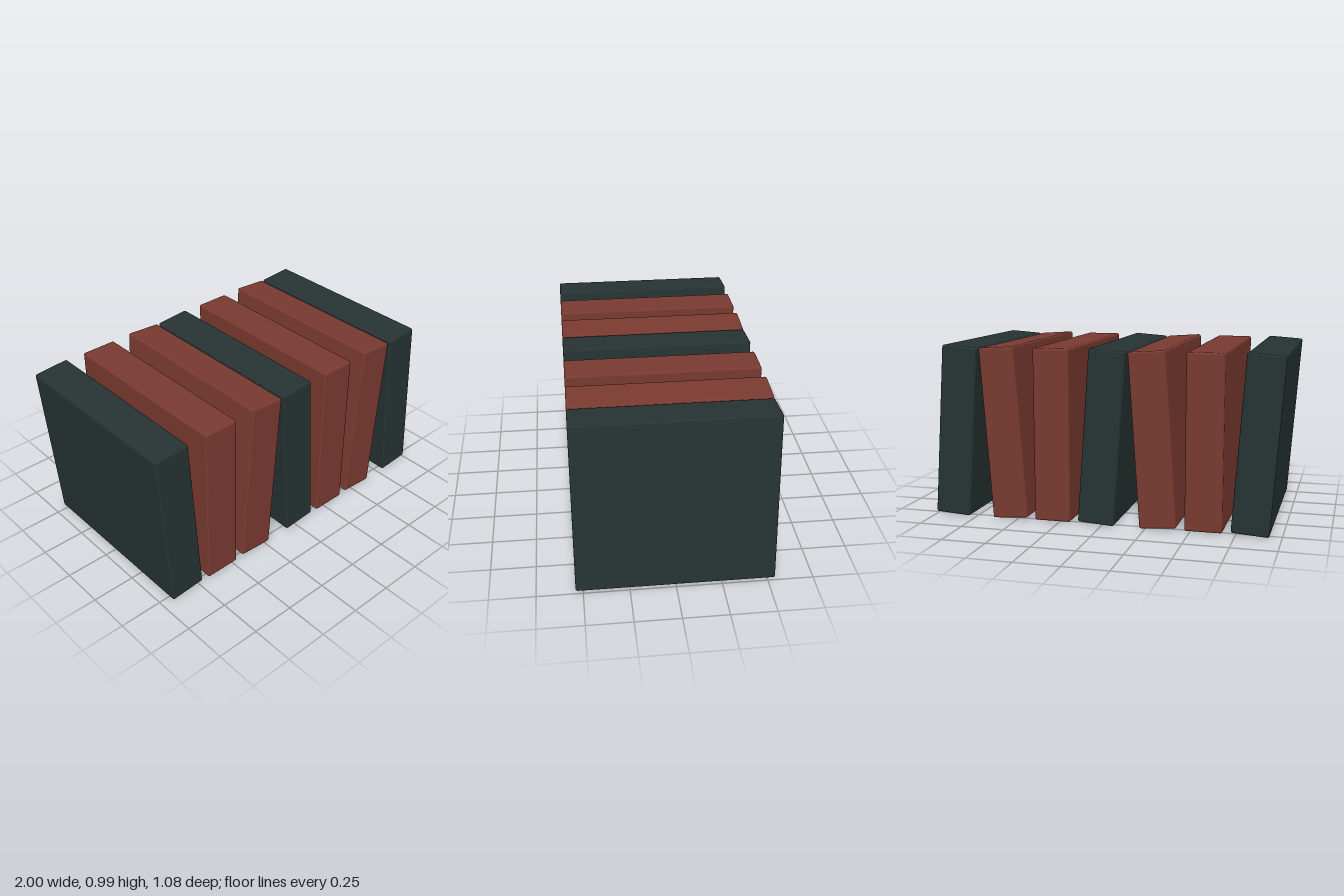
import * as THREE from 'three';
import { RoundedBoxGeometry } from 'three/addons/geometries/RoundedBoxGeometry.js';

export function createModel() {
  const group = new THREE.Group();
  group.name = 'bookRow';

  const red = new THREE.MeshStandardMaterial({ color: 0x78392f });
  red.name = 'brick red';
  const dark = new THREE.MeshStandardMaterial({ color: 0x263232 });
  dark.name = 'dark slate';

  // One softly bevelled slab shared by every book
  const slab = new RoundedBoxGeometry(0.209, 0.979, 1.08, 2, 0.012);

  // Repeating rhythm: dark leaning left, red upright, red leaning right
  const lean = THREE.MathUtils.degToRad(4);
  const rhythm = [
    { material: dark, tilt: lean },
    { material: red, tilt: 0 },
    { material: red, tilt: -lean },
  ];
  const count = 7, spacing = 0.2875;

  for (let i = 0; i < count; i++) {
    const { material, tilt } = rhythm[i % rhythm.length];
    const book = new THREE.Mesh(slab, material);
    book.name = `book${i + 1}`;
    book.position.set((i - (count - 1) / 2) * spacing, 0.495, 0);
    book.rotation.z = tilt;
    group.add(book);
  }
  return group;
}
